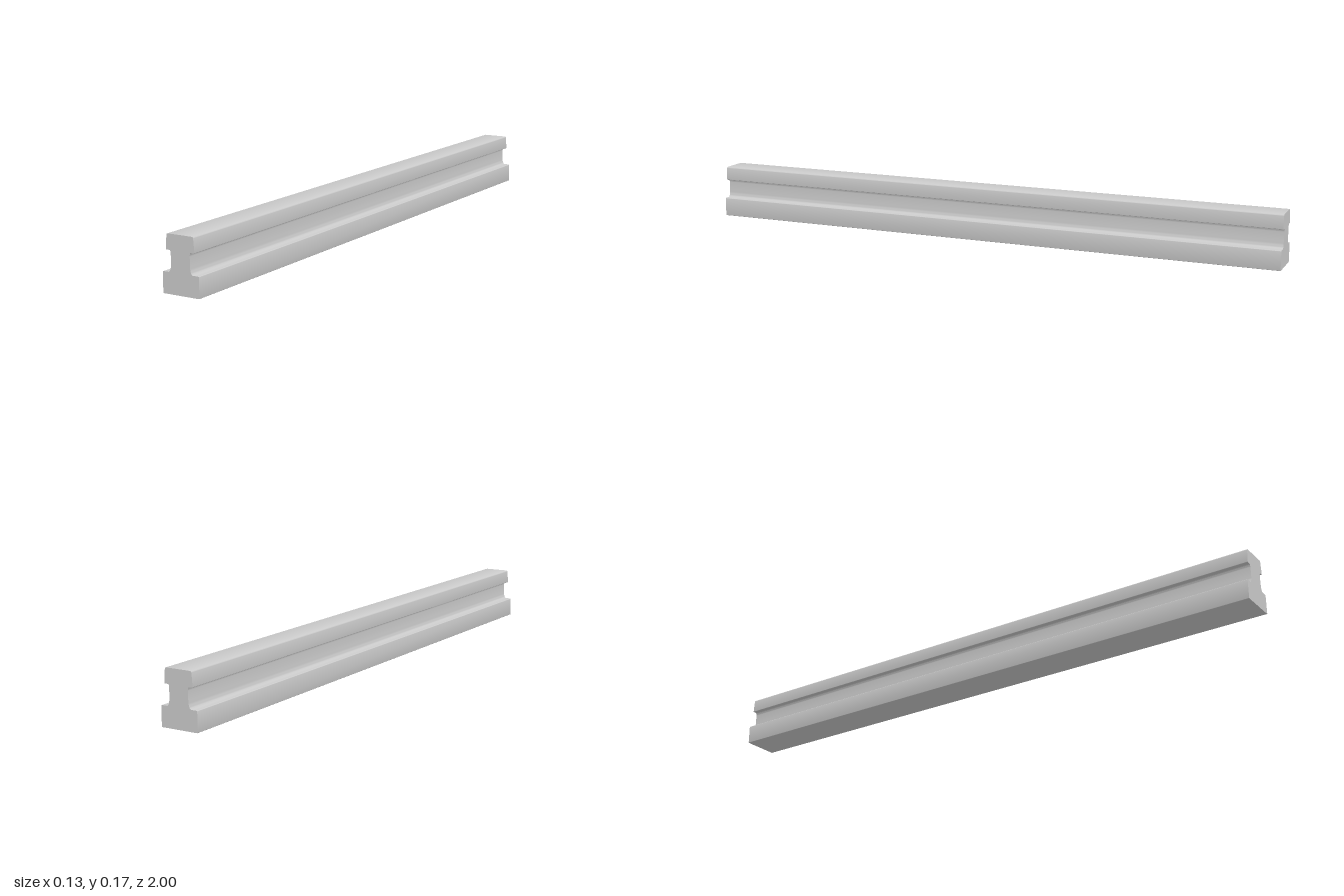
import * as THREE from 'three';
import { toCreasedNormals } from 'three/addons/utils/BufferGeometryUtils.js';

// Half of the rail section, from the foot up to the head.
// Each step is a line [x, y] or a rounded corner [controlX, controlY, x, y].
const HALF = [
  [0.061, 0], [0.063, 0, 0.063, 0.002],               // foot bottom edge
  [0.063, 0.061], [0.063, 0.064, 0.060, 0.064],       // foot top edge
  [0.042, 0.064], [0.034, 0.066, 0.033, 0.088],       // wide fillet into the web
  [0.033, 0.117], [0.033, 0.1275, 0.038, 0.1275],     // tight fillet under the head
  [0.047, 0.1275], [0.0495, 0.1275, 0.0493, 0.130],   // head lower edge
  [0.0465, 0.168], [0.046, 0.174, 0.042, 0.174],      // head top edge
];

function railShape() {
  const half = new THREE.Path();
  half.moveTo(0, 0);
  for (const p of HALF) {
    if (p.length === 2) half.lineTo(...p);
    else half.quadraticCurveTo(...p);
  }
  const right = half.getPoints(6).slice(1);
  const left = right.map((p) => new THREE.Vector2(-p.x, p.y)).reverse();
  return new THREE.Shape([...right, ...left]);
}

export function createModel() {
  const group = new THREE.Group();
  group.name = 'railSection';

  // The section swept along z
  const geometry = new THREE.ExtrudeGeometry(railShape(), { depth: 2, bevelEnabled: false });
  geometry.translate(0, 0, -1);

  const rail = new THREE.Mesh(
    toCreasedNormals(geometry, Math.PI / 6),
    new THREE.MeshStandardMaterial({ color: 0xcccccc })
  );
  rail.name = 'rail';
  group.add(rail);
  return group;
}
